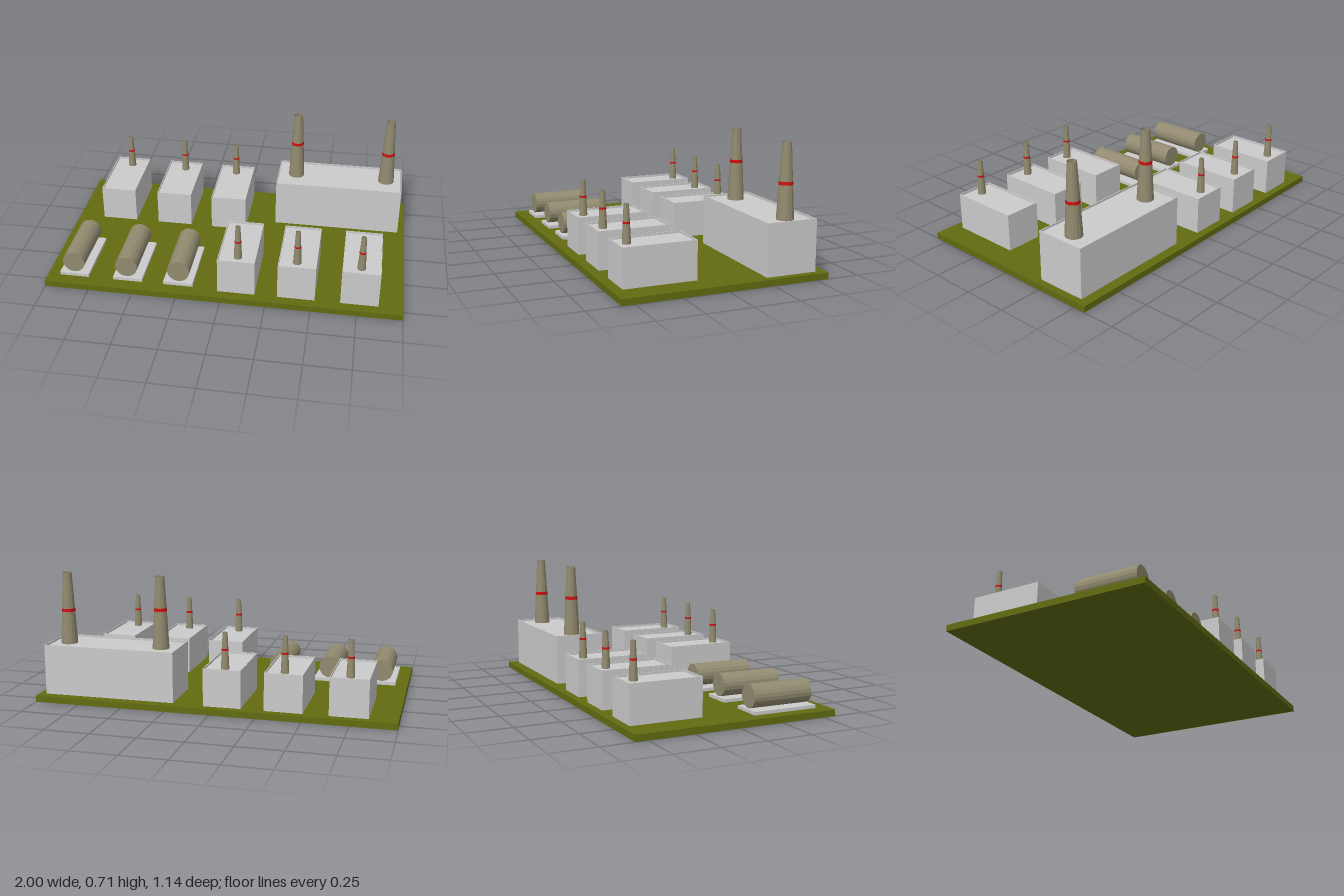
import * as THREE from 'three';

const GROUND_TOP = 0.035;

const grey = new THREE.MeshStandardMaterial({ color: 0xcccccc });
const grass = new THREE.MeshStandardMaterial({ color: 0x626b10 });
const tan = new THREE.MeshStandardMaterial({ color: 0x928b70, flatShading: true, side: THREE.DoubleSide });
const red = new THREE.MeshStandardMaterial({ color: 0xd01010, flatShading: true });

function addMesh(parent, name, geometry, material, x = 0, y = 0, z = 0) {
  const mesh = new THREE.Mesh(geometry, material);
  mesh.name = name;
  mesh.position.set(x, y, z);
  parent.add(mesh);
  return mesh;
}

// Rectangle outline centred on the origin
function rectangle(Type, w, d) {
  const path = new Type();
  path.moveTo(-w / 2, -d / 2);
  path.lineTo(w / 2, -d / 2);
  path.lineTo(w / 2, d / 2);
  path.lineTo(-w / 2, d / 2);
  path.closePath();
  return path;
}

// Block with thin walls rising just above a sunken flat roof
function building(name, x, z, w, d, top) {
  const group = new THREE.Group();
  group.name = name;
  group.position.set(x, GROUND_TOP, z);
  const height = top - GROUND_TOP;
  const wall = 0.004;
  const outline = rectangle(THREE.Shape, w, d);
  outline.holes.push(rectangle(THREE.Path, w - 2 * wall, d - 2 * wall));
  const walls = new THREE.ExtrudeGeometry(outline, { depth: height, bevelEnabled: false });
  walls.rotateX(-Math.PI / 2);
  addMesh(group, 'walls', walls, grey);
  const roofHeight = height - 0.012;
  addMesh(group, 'roof', new THREE.BoxGeometry(w - 2 * wall, roofHeight, d - 2 * wall), grey, 0, roofHeight / 2, 0);
  return group;
}

// Tapered open stack with a painted band
function chimney(x, z, base, height, rBottom, rTop, bandY, bandHeight) {
  const group = new THREE.Group();
  group.name = 'chimney';
  group.position.set(x, base, z);
  const sink = 0.012; // reaches down to the sunken roof
  addMesh(group, 'stack', new THREE.CylinderGeometry(rTop, rBottom, height + sink, 16, 1, true), tan, 0, (height - sink) / 2, 0);
  const radiusAt = (y) => rBottom + (rTop - rBottom) * (y + sink) / (height + sink) + 0.001;
  const y = bandY - base;
  addMesh(group, 'band',
    new THREE.CylinderGeometry(radiusAt(y + bandHeight / 2), radiusAt(y - bandHeight / 2), bandHeight, 16, 1, true),
    red, 0, y, 0);
  return group;
}

// Horizontal cylinder lying on a flat pad
function storageTank(padX, tankX) {
  const group = new THREE.Group();
  group.name = 'storageTank';
  addMesh(group, 'pad', new THREE.BoxGeometry(0.167, 0.02, 0.37), grey, padX, GROUND_TOP + 0.008, 0.311);
  const cylinder = new THREE.CylinderGeometry(0.063, 0.063, 0.345, 20);
  cylinder.rotateX(Math.PI / 2);
  addMesh(group, 'tank', cylinder, tan, tankX, 0.118, 0.308);
  return group;
}

export function createModel() {
  const model = new THREE.Group();
  model.name = 'industrialSite';

  addMesh(model, 'ground', new THREE.BoxGeometry(2, GROUND_TOP, 1.14), grass, 0, GROUND_TOP / 2, 0);

  // Small workshops: building x, z, chimney x, z
  const workshops = [
    [-0.743, -0.328, -0.74, -0.46],
    [-0.397, -0.328, -0.392, -0.46],
    [-0.062, -0.326, -0.065, -0.46],
    [0.082, 0.313, 0.085, 0.451],
    [0.415, 0.313, 0.411, 0.451],
    [0.762, 0.313, 0.759, 0.451],
  ];
  for (const [x, z, cx, cz] of workshops) {
    model.add(building('workshop', x, z, 0.208, 0.4, 0.245));
    model.add(chimney(cx, cz, 0.245, 0.19, 0.023, 0.0135, 0.341, 0.011));
  }

  // Main hall with two tall stacks
  model.add(building('mainHall', 0.588, -0.372, 0.747, 0.284, 0.317));
  model.add(chimney(0.323, -0.38, 0.317, 0.392, 0.047, 0.025, 0.525, 0.018));
  model.add(chimney(0.868, -0.38, 0.317, 0.392, 0.047, 0.025, 0.497, 0.018));

  // Row of storage tanks
  for (const [padX, tankX] of [[-0.847, -0.85], [-0.538, -0.546], [-0.249, -0.248]]) {
    model.add(storageTank(padX, tankX));
  }
  return model;
}
